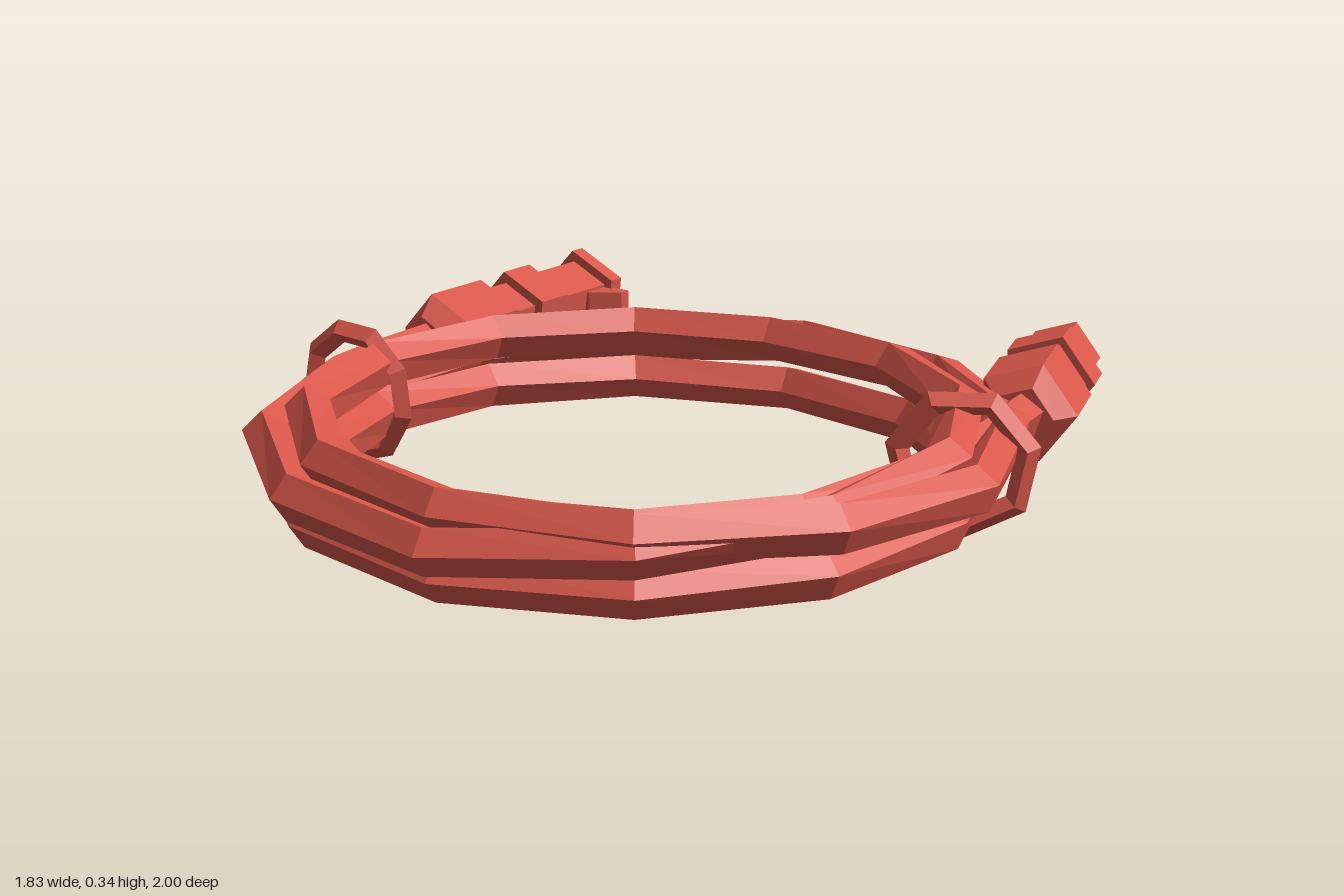
import * as THREE from 'three';

const rad = THREE.MathUtils.degToRad;

// Sweep a pentagon along a mostly level path; each point is { p, twist }
function sweep(points, radius, sides = 5) {
  const pos = [], index = [], n = points.length;
  points.forEach(({ p, twist }, i) => {
    const t = points[Math.min(i + 1, n - 1)].p.clone().sub(points[Math.max(i - 1, 0)].p);
    const out = new THREE.Vector3(-t.z, 0, t.x).normalize();
    for (let j = 0; j < sides; j++) {
      const a = j / sides * Math.PI * 2 + twist;
      const v = p.clone().addScaledVector(out, radius * Math.cos(a));
      pos.push(v.x, v.y + radius * Math.sin(a), v.z);
      if (i < n - 1) {
        const k = (j + 1) % sides, r = i * sides, s = r + sides;
        index.push(r + j, s + j, r + k, r + k, s + j, s + k);
      }
    }
  });
  const g = new THREE.BufferGeometry();
  g.setAttribute('position', new THREE.Float32BufferAttribute(pos, 3));
  g.setIndex(index);
  g.computeVertexNormals();
  return g;
}

// Stepped pentagonal body running along -z; profile is [radius, distance]
function steppedBody(profile, phi) {
  const pts = profile.map(([r, d]) => new THREE.Vector2(r, d));
  return new THREE.LatheGeometry(pts, 5, phi).rotateX(-Math.PI / 2);
}

export function createModel() {
  const model = new THREE.Group();
  model.name = 'coiledCable';
  const red = new THREE.MeshStandardMaterial({ color: 0xd9574a, flatShading: true });
  red.name = 'cable red';
  const add = (parent, name, geometry) => {
    const m = new THREE.Mesh(geometry, red);
    m.name = name;
    parent.add(m);
    return m;
  };

  // Coil: [radius, height] at every quarter turn: left, front, right, back...
  const quarters = [
    [0.82, 0.21], [0.83, 0.18], [0.765, 0.255], [0.67, 0.265],
    [0.70, 0.26], [0.78, 0.25], [0.83, 0.205], [0.85, 0.215],
    [0.79, 0.155], [0.785, 0.11], [0.76, 0.11], [0.767, 0.115],
    [0.70, 0.14], [0.665, 0.20], [0.68, 0.20],
  ];
  const side = rad(18);
  const path = [
    { p: new THREE.Vector3(-0.81, 0.19, -0.36), twist: side },
    { p: new THREE.Vector3(-0.815, 0.2, -0.05), twist: side },
  ];
  const steps = (quarters.length - 1) * 3;
  for (let i = 0; i <= steps; i++) {
    const q = Math.min(Math.floor(i / 3), quarters.length - 2), f = i / 3 - q;
    const r = THREE.MathUtils.lerp(quarters[q][0], quarters[q + 1][0], f);
    const y = THREE.MathUtils.lerp(quarters[q][1], quarters[q + 1][1], f);
    const a = rad(270 - i * 30);
    path.push({
      p: new THREE.Vector3(0.025 + r * Math.sin(a), y, 0.11 - r * Math.cos(a)),
      twist: side * (1 + Math.cos(a)),
    });
  }
  path.push(
    { p: new THREE.Vector3(0.735, 0.2, -0.2), twist: side },
    { p: new THREE.Vector3(0.72, 0.2, -0.5), twist: side },
  );
  add(model, 'cableCoil', sweep(path, 0.055));

  // Ties holding the bundle on both sides
  const ties = [['leftTie', 0.725, -0.115, 17, 7, 272], ['rightTie', -0.742, 0.095, -8, 9, 268]];
  for (const [name, x, z, turn, sides, start] of ties) {
    const ring = new THREE.TorusGeometry(0.148, 0.028, 4, sides).rotateZ(rad(start));
    const tie = add(model, name, ring);
    tie.position.set(x, 0.182, z);
    tie.rotation.y = rad(turn);
  }

  // Left plug, with a socket in its tip
  const leftPlug = new THREE.Group();
  leftPlug.name = 'leftPlug';
  leftPlug.position.set(0.725, 0.197, -0.44);
  leftPlug.rotation.y = 0.21;
  add(leftPlug, 'leftPlugBody', steppedBody([
    [0, 0], [0.075, 0], [0.122, 0.05], [0.122, 0.235], [0.096, 0.235], [0.096, 0.315],
    [0.117, 0.315], [0.117, 0.42], [0.09, 0.42], [0.09, 0.56], [0.035, 0.56], [0.035, 0.52], [0, 0.52],
  ], Math.PI / 2));
  model.add(leftPlug);

  // Right plug, with an end flange and a side latch
  const rightPlug = new THREE.Group();
  rightPlug.name = 'rightPlug';
  rightPlug.position.set(-0.812, 0.192, -0.3);
  rightPlug.rotation.y = -0.15;
  add(rightPlug, 'rightPlugBody', steppedBody([
    [0, 0], [0.07, 0], [0.118, 0.05], [0.118, 0.235], [0.092, 0.235], [0.092, 0.325],
    [0.121, 0.325], [0.121, 0.425], [0.096, 0.425], [0.096, 0.6],
    [0.124, 0.6], [0.124, 0.64], [0, 0.64],
  ], -0.2));
  const latch = new THREE.Shape([
    [0.05, 0.53], [0.09, 0.53], [0.155, 0.584], [0.155, 0.612], [0.05, 0.612],
  ].map(([x, d]) => new THREE.Vector2(x, d)));
  add(rightPlug, 'rightPlugLatch',
    new THREE.ExtrudeGeometry(latch, { depth: 0.08, bevelEnabled: false })
      .rotateX(-Math.PI / 2).translate(0, -0.04, 0));
  model.add(rightPlug);

  return model;
}
